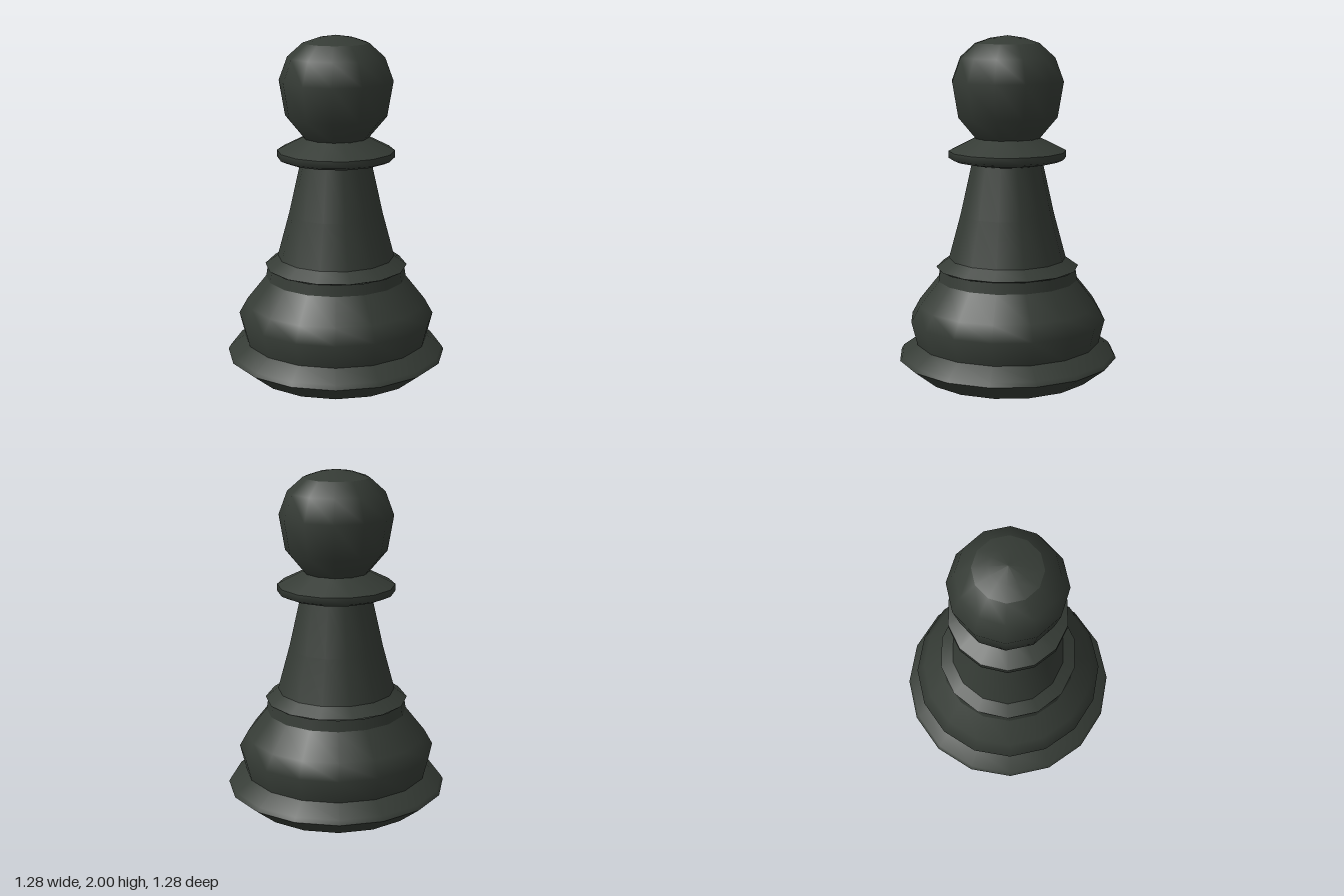
import * as THREE from 'three';

const V = (r, y) => new THREE.Vector2(r, y);

export function createModel() {
  const pawn = new THREE.Group();
  pawn.name = 'pawn';
  // The piece is a hollow shell, open underneath
  const wood = new THREE.MeshStandardMaterial({ name: 'dark green grey', color: 0x353b35, side: THREE.DoubleSide });
  const felt = new THREE.MeshStandardMaterial({ name: 'felt green', color: 0x1c481c, side: THREE.DoubleSide });

  // Each part is made of smooth turned bands; separate bands keep hard edges between them
  function part(name, sides, bands) {
    const g = new THREE.Group();
    g.name = name;
    const start = Math.PI / 2 + Math.PI / sides;
    for (const profile of bands) {
      const geo = new THREE.LatheGeometry(profile.map(p => V(...p)), sides, start);
      g.add(new THREE.Mesh(geo, wood));
    }
    pawn.add(g);
  }

  // Flared foot
  part('foot', 16, [
    [[0.512, 0], [0.65, 0.11]],
    [[0.65, 0.11], [0.635, 0.135], [0.545, 0.2]],
  ]);

  // Remnant of felt along part of the inner foot edge
  const feltStrip = new THREE.Mesh(
    new THREE.LatheGeometry([V(0.475, 0.003), V(0.505, 0.003)], 6, 0.9, 1.95), felt);
  feltStrip.name = 'feltStrip';
  pawn.add(feltStrip);

  // Bulging lower body
  part('lowerBody', 16, [
    [[0.545, 0.2], [0.58, 0.34], [0.53, 0.43], [0.415, 0.575]],
    [[0.415, 0.575], [0.405, 0.64]],
  ]);

  // Shoulder ring below the stem
  part('shoulder', 14, [
    [[0.395, 0.637], [0.42, 0.647]],
    [[0.42, 0.647], [0.345, 0.7]],
  ]);

  // Tapered stem
  part('stem', 14, [[[0.345, 0.7], [0.275, 0.96], [0.208, 1.26]]]);

  // Thin collar
  part('collar', 14, [
    [[0.208, 1.26], [0.31, 1.28]],
    [[0.31, 1.28], [0.343, 1.295], [0.343, 1.335]],
    [[0.343, 1.335], [0.19, 1.412]],
  ]);

  // Faceted ball head with a flattened crown
  part('head', 12, [
    [[0.19, 1.41], [0.295, 1.535], [0.33, 1.74], [0.28, 1.875], [0.19, 1.955]],
    [[0.19, 1.955], [0.1, 1.985], [0, 2]],
  ]);

  return pawn;
}
